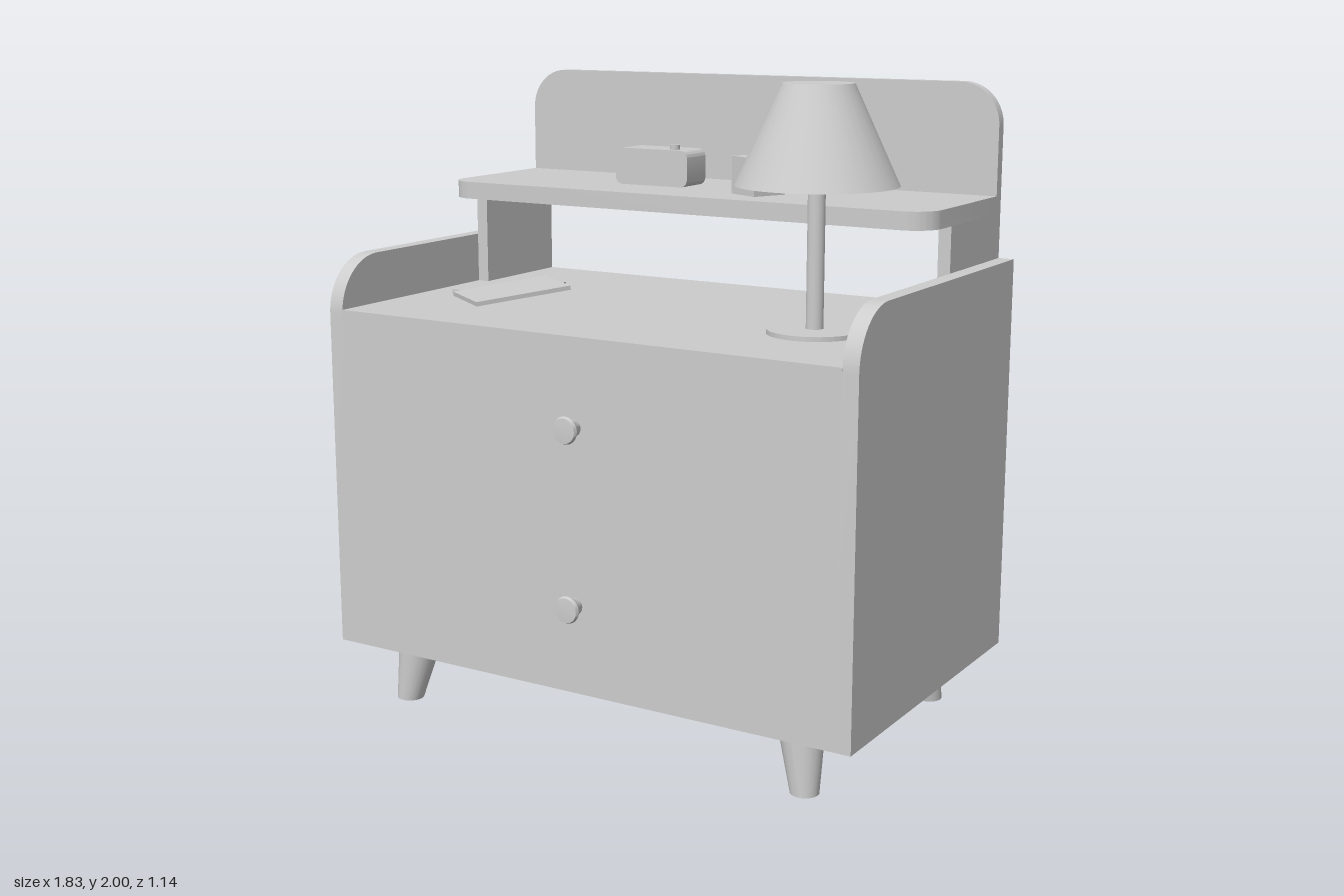
import * as THREE from 'three';
import { toCreasedNormals } from 'three/addons/utils/BufferGeometryUtils.js';

const FLOOR = 1.28;   // desk top height
const SHELF = 1.635;  // upper shelf height

// Rectangle outline with a radius per corner: bottom-left, bottom-right, top-right, top-left
function roundedRect(x0, y0, x1, y1, [bl, br, tr, tl]) {
  const s = new THREE.Shape();
  s.moveTo(x0 + bl, y0);
  s.lineTo(x1 - br, y0);
  if (br) s.absarc(x1 - br, y0 + br, br, -Math.PI / 2, 0);
  s.lineTo(x1, y1 - tr);
  if (tr) s.absarc(x1 - tr, y1 - tr, tr, 0, Math.PI / 2);
  s.lineTo(x0 + tl, y1);
  if (tl) s.absarc(x0 + tl, y1 - tl, tl, Math.PI / 2, Math.PI);
  s.lineTo(x0, y0 + bl);
  if (bl) s.absarc(x0 + bl, y0 + bl, bl, Math.PI, Math.PI * 1.5);
  return s;
}

const extrude = (shape, depth) => toCreasedNormals(
  new THREE.ExtrudeGeometry(shape, { depth, bevelEnabled: false, curveSegments: 8 }), 0.6);

const lathe = (pts, seg = 32) => toCreasedNormals(
  new THREE.LatheGeometry(pts.map(([r, y]) => new THREE.Vector2(r, y)), seg), 0.6);

export function createModel() {
  const group = new THREE.Group();
  const grey = new THREE.MeshStandardMaterial({ color: 0xcccccc });
  grey.name = 'light grey';

  const add = (name, geo, x = 0, y = 0, z = 0, parent = group) => {
    const m = new THREE.Mesh(geo, grey);
    m.name = name;
    m.position.set(x, y, z);
    parent.add(m);
    return m;
  };
  const box = (name, x0, x1, y0, y1, z0, z1) => add(name,
    new THREE.BoxGeometry(x1 - x0, y1 - y0, z1 - z0), (x0 + x1) / 2, (y0 + y1) / 2, (z0 + z1) / 2);

  // Cabinet body
  box('cabinetBody', -0.865, 0.865, 0.19, FLOOR, -0.57, 0.515);

  // Side panels with a rounded front top corner; outline x stands for -z
  const sideGeo = extrude(roundedRect(-0.515, 0.19, 0.57, 1.44, [0, 0, 0, 0.175]), 0.05);
  sideGeo.rotateY(Math.PI / 2);
  add('leftSidePanel', sideGeo, 0.865);
  add('rightSidePanel', sideGeo, -0.915);

  // Shelf uprights
  for (const [name, x] of [['leftShelfSupport', 0.825], ['rightShelfSupport', -0.865]])
    box(name, x, x + 0.04, FLOOR, 1.58, -0.57, -0.19);

  // Shelf with rounded front corners; outline y stands for -z
  const shelfGeo = extrude(roundedRect(-0.865, 0.03, 0.865, 0.57, [0.09, 0.09, 0, 0]), 0.055);
  shelfGeo.rotateX(-Math.PI / 2);
  add('shelf', shelfGeo, 0, 1.58, 0);

  // Back board with rounded top corners
  add('backBoard', extrude(roundedRect(-0.865, SHELF, 0.865, 1.98, [0, 0, 0.13, 0.13]), 0.035), 0, 0, -0.57);

  // Drawer knobs
  const knobGeo = lathe([[0, 0], [0.026, 0], [0.028, 0.015], [0.042, 0.042], [0.038, 0.052], [0, 0.055]], 24);
  knobGeo.rotateX(Math.PI / 2);
  add('upperKnob', knobGeo, 0, 1.01, 0.515);
  add('lowerKnob', knobGeo, 0, 0.465, 0.515);

  // Tapered legs, sheared outwards so the outer edges stay upright
  for (const sx of [1, -1]) for (const sz of [1, -1]) {
    const geo = new THREE.CylinderGeometry(0.07, 0.043, 0.19, 20);
    const p = geo.attributes.position;
    for (let i = 0; i < p.count; i++) {
      const k = 0.5 - p.getY(i) / 0.19;
      p.setX(i, p.getX(i) + sx * 0.027 * k);
      p.setZ(i, p.getZ(i) + sz * 0.027 * k);
    }
    geo.computeVertexNormals();
    add((sz > 0 ? 'front' : 'back') + (sx > 0 ? 'Left' : 'Right') + 'Leg',
      geo, sx * 0.695, 0.095, sz > 0 ? 0.385 : -0.435);
  }

  // Table lamp
  const lamp = new THREE.Group();
  lamp.name = 'lamp';
  lamp.position.set(0.57, 0, 0.1);
  group.add(lamp);
  add('lampBase', new THREE.CylinderGeometry(0.142, 0.142, 0.014, 32), 0, FLOOR + 0.007, 0, lamp);
  add('lampStem', new THREE.CylinderGeometry(0.026, 0.026, 0.71, 20), 0, FLOOR + 0.355, 0, lamp);
  add('lampShade', lathe([[0, 1.99], [0.099, 1.99], [0.233, 1.71], [0.239, 1.71], [0.104, 2], [0, 2]]), 0, 0, 0, lamp);

  // Small clock with a button
  const r = 0.025;
  add('clock', extrude(roundedRect(-0.34, SHELF, -0.07, 1.752, [r, r, r, r]), 0.117), 0, 0, -0.362);
  add('clockButton', new THREE.CylinderGeometry(0.016, 0.016, 0.02, 16), -0.136, 1.757, -0.28);

  // Turned cube on the shelf
  add('cube', new THREE.BoxGeometry(0.118, 0.117, 0.118), 0.21, SHELF + 0.0585, -0.208).rotation.y = -0.44;

  // Two books, the upper one leaning on the lower
  box('lowerBook', -0.762, -0.532, FLOOR, FLOOR + 0.016, -0.23, 0.09);
  const upper = add('upperBook', new THREE.BoxGeometry(0.228, 0.014, 0.32), -0.545, FLOOR + 0.025, 0.06);
  upper.rotation.set(0.1, -0.59, 0, 'YXZ');

  return group;
}
